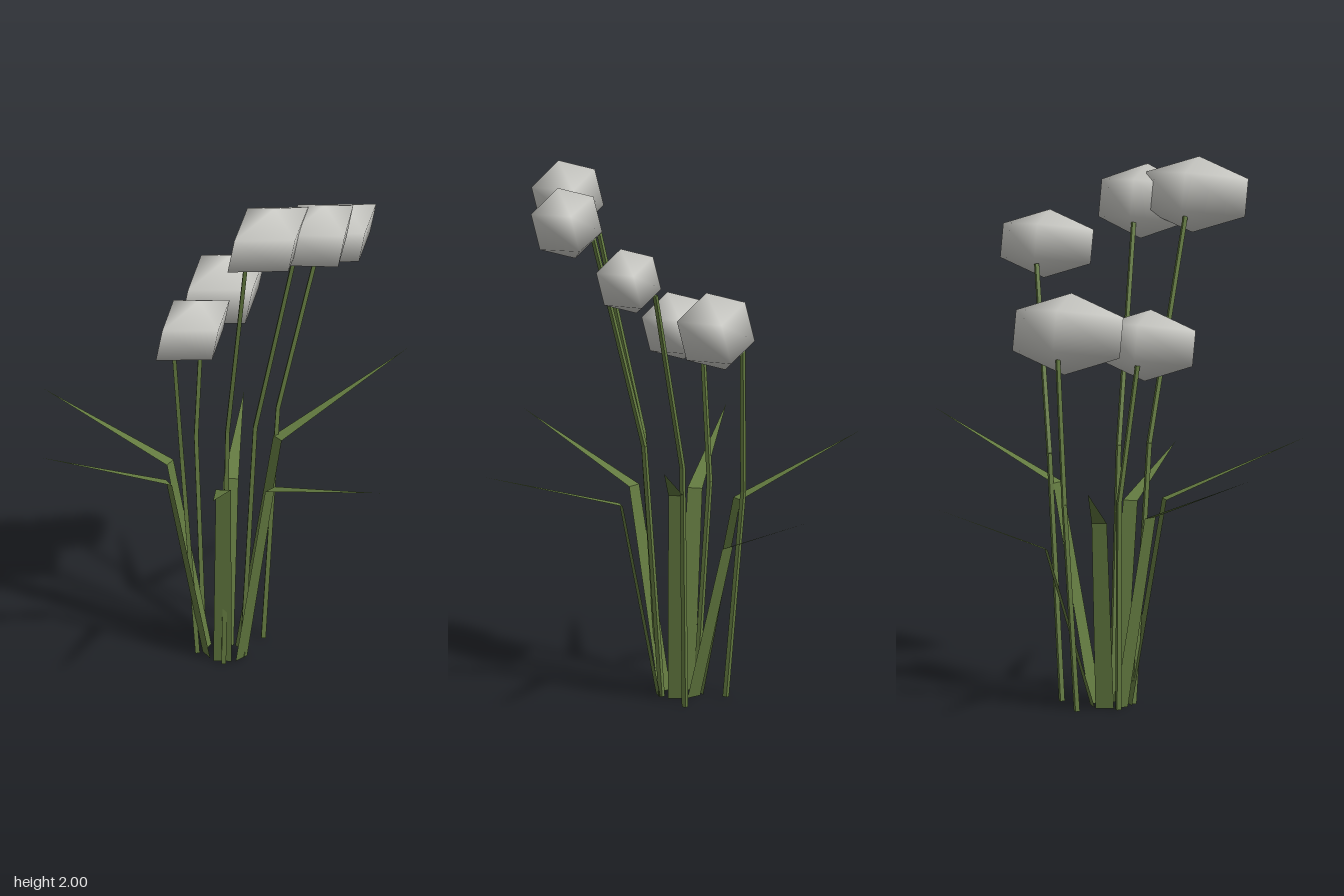
import * as THREE from 'three';

const V = (p) => new THREE.Vector3(...p);

export function createModel() {
  const group = new THREE.Group();
  const petal = new THREE.MeshStandardMaterial({ color: 0xcbcbc6 });
  petal.name = 'pale petal grey';
  const green = new THREE.MeshStandardMaterial({ color: 0x637a40, flatShading: true, side: THREE.DoubleSide });
  green.name = 'leaf green';

  const add = (name, geometry, material) => {
    const mesh = new THREE.Mesh(geometry, material);
    mesh.name = name;
    group.add(mesh);
    return mesh;
  };

  // Thin straight rod between two points
  const rod = (name, a, b, r0, r1) => {
    const d = b.clone().sub(a);
    const mesh = add(name, new THREE.CylinderGeometry(r1, r0, d.length(), 4), green);
    mesh.position.copy(a).addScaledVector(d, 0.5);
    mesh.quaternion.setFromUnitVectors(new THREE.Vector3(0, 1, 0), d.normalize());
  };

  // Flowers: low-poly heads, stretched in z and leaning to +x, on bent stems
  const flowers = [
    { head: [0.37, 1.862, 0.235], r: 0.141, half: 0.203, bend: [0.1, 0.97, 0.16], base: [0.045, 0, 0.12] },
    { head: [0.415, 1.815, 0.01], r: 0.139, half: 0.175, bend: [0.12, 0.95, 0.03], base: [0.055, 0, 0.03] },
    { head: [0.24, 1.663, -0.305], r: 0.127, half: 0.18, bend: [0.02, 0.92, -0.205], base: [0, 0, -0.147] },
    { head: [-0.13, 1.4, -0.07], r: 0.152, half: 0.214, bend: [-0.238, 0.78, -0.04], base: [-0.177, 0, -0.015] },
    { head: [-0.03, 1.36, 0.207], r: 0.133, half: 0.185, bend: [-0.145, 0.78, 0.14], base: [-0.09, 0, 0.115] },
  ];
  for (const { head, r, half, bend, base } of flowers) {
    const bloom = add('flowerHead', new THREE.SphereGeometry(r, 4, 3), petal);
    bloom.scale.z = half / (r * Math.sin(Math.PI / 3));
    bloom.rotation.z = -0.24;
    bloom.position.set(...head);
    const top = V(head).add(new THREE.Vector3(-0.1, -0.06, 0));
    rod('lowerStem', V(base), V(bend), 0.012, 0.011);
    rod('upperStem', V(bend), top, 0.011, 0.01);
  }

  // Leaves: flat blades, upright to the bend, then tapering outward to a point
  const leaves = [
    { base: [0.005, 0, -0.015], bend: [0.04, 0.81, -0.18], tip: [0.185, 1.03, -0.73] },
    { base: [-0.06, 0, 0], bend: [-0.16, 0.595, -0.145], tip: [-0.4, 0.76, -0.48] },
    { base: [-0.09, 0, 0.06], bend: [-0.24, 0.72, 0.1], tip: [-0.73, 0.92, 0.255] },
    { base: [-0.05, 0, 0.11], bend: [-0.11, 0.73, 0.25], tip: [-0.315, 0.93, 0.725] },
    { base: [0.03, 0, 0.11], bend: [0.125, 0.76, 0.21], tip: [0.46, 0.965, 0.635] },
    { base: [0.065, 0, 0.045], bend: [0.205, 0.73, 0.042], tip: [0.725, 0.865, 0.01] },
  ];
  for (const { base, bend, tip } of leaves) {
    const side = new THREE.Vector3(bend[2] - tip[2], 0, tip[0] - bend[0]).normalize();
    const edge = (p, w) => [V(p).addScaledVector(side, -w), V(p).addScaledVector(side, w)];
    const points = [...edge(base, 0.034), ...edge(bend, 0.028), V(tip)];
    const geometry = new THREE.BufferGeometry().setFromPoints(points);
    geometry.setIndex([0, 2, 1, 1, 2, 3, 2, 4, 3]);
    const flat = geometry.toNonIndexed();
    flat.computeVertexNormals();
    add('leaf', flat, green);
  }
  return group;
}
